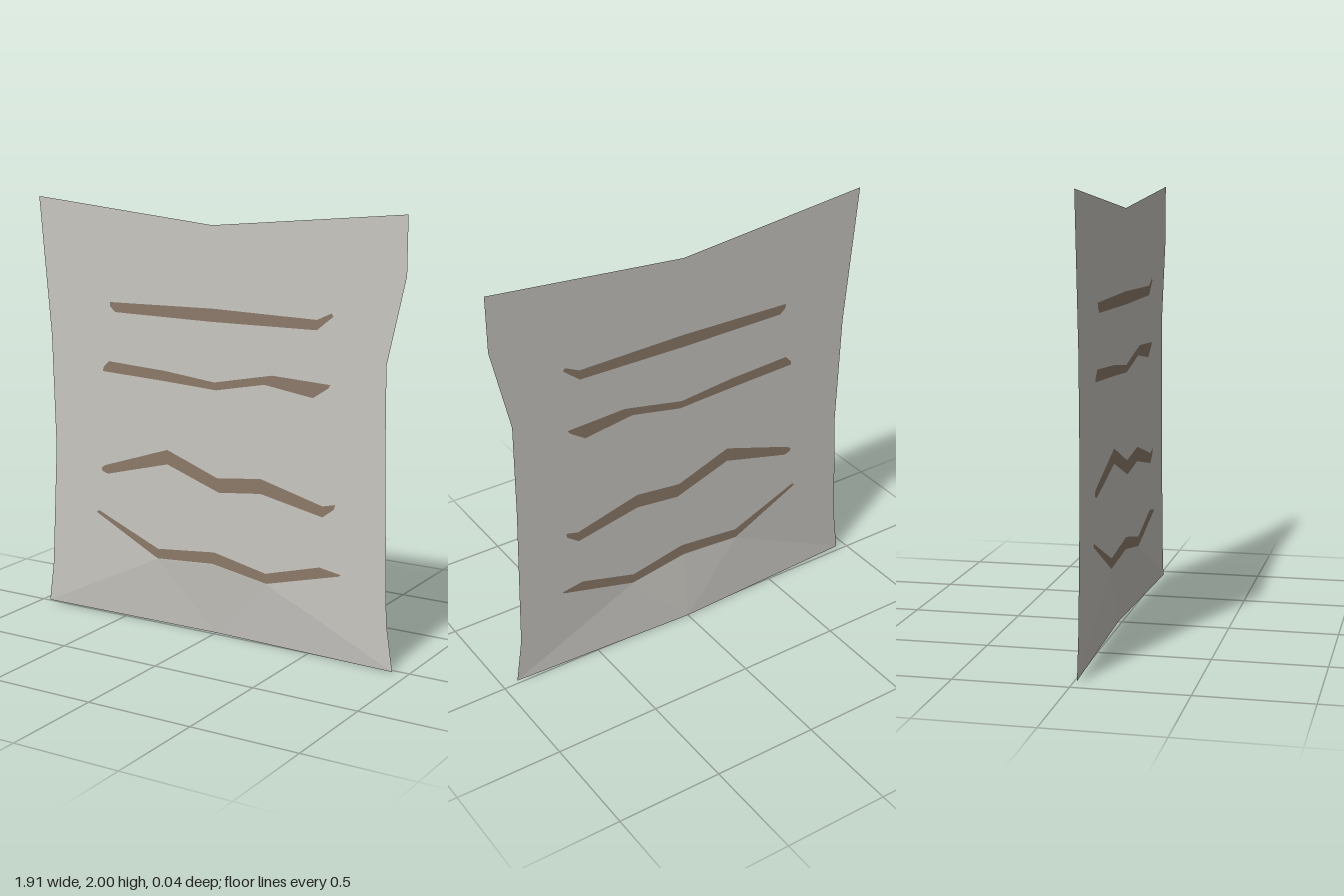
import * as THREE from 'three';

const Z = 0.018; // plane of the flat sheet; the bottom centre bends back to -Z

const toPath = (pts, Kind) => new Kind(pts.map(([x, y]) => new THREE.Vector2(x, y)));

// Wavy stripe outlines, top to bottom
const stripes = [
  [[-0.56, 1.525], [0, 1.535], [0.53, 1.525], [0.6, 1.558], [0.61, 1.545], [0.53, 1.48], [0, 1.475], [-0.53, 1.48], [-0.558, 1.505]],
  [[-0.57, 1.245], [-0.255, 1.228], [0.01, 1.2], [0.31, 1.26], [0.6, 1.246], [0.59, 1.23], [0.515, 1.18], [0.27, 1.215],
    [0.02, 1.165], [-0.255, 1.18], [-0.605, 1.195], [-0.6, 1.215]],
  [[-0.62, 0.725], [-0.6, 0.74], [-0.245, 0.857], [0.025, 0.757], [0.255, 0.783], [0.57, 0.7], [0.632, 0.715], [0.627, 0.693],
    [0.57, 0.65], [0.255, 0.714], [0.035, 0.69], [-0.245, 0.788], [-0.585, 0.7], [-0.615, 0.71]],
  [[-0.653, 0.503], [-0.638, 0.513], [-0.3, 0.372], [0.01, 0.402], [0.283, 0.344], [0.558, 0.418], [0.664, 0.4],
    [0.66, 0.393], [0.288, 0.297], [0, 0.346], [-0.304, 0.325]],
];

// Upper line of the folded part, running just under the lowest stripe
const foldLine = [[-0.945, 0.01], [-0.304, 0.322], [0, 0.343], [0.288, 0.294], [0.925, 0]];

// Sheet edge from the lower right corner round to the lower left
const edge = [[0.892, 0.217], [0.87, 0.915], [0.865, 1.355], [0.95, 1.74], [0.95, 1.995], [0, 1.907], [-0.958, 2],
  [-0.9, 1.34], [-0.886, 0.8], [-0.918, 0.21]];

export function createModel() {
  const group = new THREE.Group();
  const paper = new THREE.MeshStandardMaterial({ name: 'pale grey paper', color: 0xc8c6c0, side: THREE.DoubleSide });
  const brown = new THREE.MeshStandardMaterial({ name: 'faded brown ink', color: 0x8b7969, side: THREE.DoubleSide });

  const add = (geometry, material, name) => {
    const mesh = new THREE.Mesh(geometry, material);
    mesh.name = name;
    group.add(mesh);
    return mesh;
  };

  // Flat sheet with openings filled by the stripes
  const outline = toPath([...foldLine, ...edge], THREE.Shape);
  outline.holes = stripes.map((s) => toPath(s, THREE.Path));
  add(new THREE.ShapeGeometry(outline), paper, 'sheet').position.z = Z;

  stripes.forEach((s, i) => {
    add(new THREE.ShapeGeometry(toPath(s, THREE.Shape)), brown, `stripe${i + 1}`).position.z = Z;
  });

  // Bottom flap: a faceted fan meeting at the bent-back bottom centre
  const fan = [];
  for (let i = 0; i < foldLine.length - 1; i++) {
    fan.push(0, 0, -Z, ...foldLine[i + 1], Z, ...foldLine[i], Z);
  }
  const flap = new THREE.BufferGeometry();
  flap.setAttribute('position', new THREE.Float32BufferAttribute(fan, 3));
  flap.computeVertexNormals();
  add(flap, paper, 'bottomFlap');

  return group;
}
